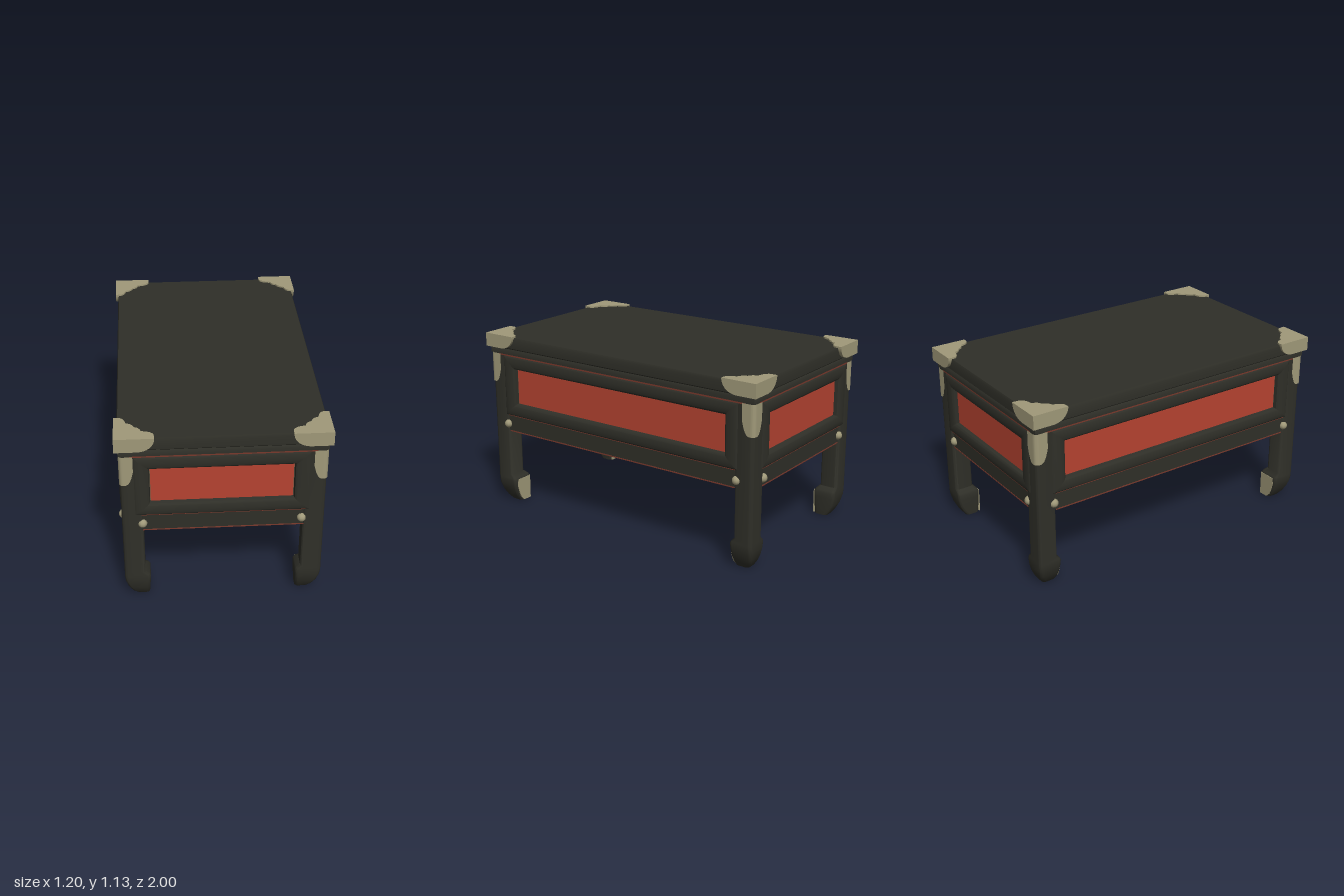
import * as THREE from 'three';
import { toCreasedNormals } from 'three/addons/utils/BufferGeometryUtils.js';

const material = (name, color) => {
  const m = new THREE.MeshStandardMaterial({ color, side: THREE.DoubleSide });
  m.name = name;
  return m;
};

// Counter-clockwise rounded rectangle at height w
function ring(x0, x1, y0, y1, w, r = 0, seg = 5) {
  const pts = [];
  const corners = [[x1, y1, -1, -1], [x0, y1, 1, -1], [x0, y0, 1, 1], [x1, y0, -1, 1]];
  corners.forEach(([x, y, dx, dy], q) => {
    for (let i = 0; i <= (r ? seg : 0); i++) {
      const a = (q + i / seg) * Math.PI / 2;
      pts.push([x + dx * r + r * Math.cos(a), y + dy * r + r * Math.sin(a), w]);
    }
  });
  return pts;
}

// Skin over a stack of rings, with optional end caps
function loft(rings, caps = true) {
  const n = rings[0].length, pos = rings.flat(2), index = [];
  for (let i = 0; i < rings.length - 1; i++) {
    for (let j = 0; j < n; j++) {
      const k = (j + 1) % n, a = i * n + j, b = i * n + k;
      index.push(a, b, b + n, a, b + n, a + n);
    }
  }
  if (caps) {
    const top = (rings.length - 1) * n;
    for (let j = 1; j < n - 1; j++) index.push(0, j + 1, j, top, top + j, top + j + 1);
  }
  const g = new THREE.BufferGeometry();
  g.setAttribute('position', new THREE.Float32BufferAttribute(pos, 3));
  g.setIndex(index);
  return g;
}

// Copy into another quadrant, keeping the faces outward
function mirrored(geo, sx, sz) {
  const g = geo.index ? geo.toNonIndexed() : geo.clone();
  g.deleteAttribute('uv');
  g.scale(sx, 1, sz);
  if (sx * sz < 0) {
    const p = g.attributes.position, a = new THREE.Vector3(), b = new THREE.Vector3();
    for (let i = 0; i < p.count; i += 3) {
      a.fromBufferAttribute(p, i + 1);
      b.fromBufferAttribute(p, i + 2);
      p.setXYZ(i + 1, b.x, b.y, b.z);
      p.setXYZ(i + 2, a.x, a.y, a.z);
    }
  }
  g.computeVertexNormals();
  return toCreasedNormals(g, Math.PI / 4);
}

const extrude = (shape, depth) =>
  new THREE.ExtrudeGeometry(shape, { depth, bevelEnabled: false, curveSegments: 6 });

// Side plate of a corner cap; X runs inward from the corner at x = edge
function capSide(edge, dir) {
  const s = new THREE.Shape(), X = (u) => edge + dir * u;
  s.moveTo(X(0), 1.05);
  s.lineTo(X(0.13), 1.05);
  s.quadraticCurveTo(X(0.185), 1.055, X(0.208), 1.09);
  s.quadraticCurveTo(X(0.222), 1.11, X(0.222), 1.135);
  s.lineTo(X(0), 1.135);
  return s;
}

// Scalloped top plate of a corner cap
function capTop() {
  const s = new THREE.Shape();
  s.moveTo(0.6, 1);
  s.lineTo(0.378, 1);
  s.lineTo(0.38, 0.955);
  s.quadraticCurveTo(0.395, 0.925, 0.45, 0.92);
  s.quadraticCurveTo(0.455, 0.885, 0.487, 0.877);
  s.quadraticCurveTo(0.495, 0.845, 0.532, 0.835);
  s.quadraticCurveTo(0.54, 0.79, 0.565, 0.78);
  s.lineTo(0.6, 0.778);
  return s;
}

// Sheet wrapped round the outer corner of a leg, with a shaped lower edge
function guardGeometry() {
  const g = new THREE.PlaneGeometry(1, 1, 28, 6), p = g.attributes.position;
  const X = 0.58, Z = 0.983, r = 0.025, flat = 0.055, arc = r * Math.PI / 2;
  for (let i = 0; i < p.count; i++) {
    const s = p.getX(i) * (2 * flat + arc), v = 0.5 - p.getY(i);
    const t = Math.max(0, Math.abs(s) - arc / 2);
    const a = Math.PI / 4 - THREE.MathUtils.clamp(s / r, -Math.PI / 4, Math.PI / 4);
    const low = 0.82 + 0.09 * Math.pow(t / flat, 3);
    p.setXYZ(i,
      X - r + r * Math.cos(a) - (s < 0 ? t : 0),
      1.008 + (low - 1.008) * v,
      Z - r + r * Math.sin(a) - (s > 0 ? t : 0));
  }
  return g;
}

export function createModel() {
  const black = material('black lacquer', 0x2f2f28);
  const red = material('red lacquer', 0xb64331);
  const brass = material('aged brass', 0xa09979);
  const worn = material('worn red edge', 0x7a392c);
  const bare = material('rubbed edge', 0x6b5c44);
  const model = new THREE.Group();
  model.name = 'lowTable';
  const add = (name, geo, mat, parent = model) => {
    const m = new THREE.Mesh(geo, mat);
    m.name = name;
    parent.add(m);
    return m;
  };
  const box = (name, w, h, d, x, y, z, mat, parent) =>
    add(name, new THREE.BoxGeometry(w, h, d), mat, parent).position.set(x, y, z);

  // Table top with a shallow lower moulding: half width, half depth, height
  const slab = [[0.58, 0.979, 1.01], [0.58, 0.979, 1.035], [0.575, 0.973, 1.046], [0.582, 0.98, 1.053],
    [0.584, 0.981, 1.112], [0.578, 0.976, 1.125]];
  const slabGeo = loft(slab.map(([x, z, y]) => ring(-x, x, -z, z, y))).rotateX(-Math.PI / 2);
  add('tableTop', toCreasedNormals(slabGeo, 0.5), black);

  // Body behind the panels, with its floor just above the apron edges
  box('body', 1.08, 0.495, 1.88, 0, 0.7625, 0, black);

  // Four walls: apron, moulded frame, recessed red panel and worn edge lines
  // name, angle, distance, frame half width, wall half width, frame shift
  const walls = [['front', 0, 0.96, 0.492, 0.55, -0.008], ['left', Math.PI / 2, 0.56, 0.875, 0.95, 0],
    ['back', Math.PI, 0.96, 0.492, 0.55, 0.008], ['right', -Math.PI / 2, 0.56, 0.875, 0.95, 0]];
  const profile = [[0, -0.02], [0, 0.014], [0.01, 0.021], [0.04, 0.024], [0.072, 0.021], [0.084, 0.012], [0.09, -0.016]];
  for (const [side, angle, d, half, full, shift] of walls) {
    const wall = new THREE.Group();
    wall.name = side + 'Wall';
    wall.rotation.y = angle;
    model.add(wall);
    box('apron', full * 2, 0.12, 0.036, 0, 0.56, d - 0.012, black, wall);
    const rings = profile.map(([i, w]) =>
      ring(shift - half + i, shift + half - i, 0.61 + i * 0.9, 1 - i * 0.95, d + w));
    add('frame', toCreasedNormals(loft(rings, false), 0.6), black, wall);
    box('panelBorder', (half - 0.087) * 2, 0.23, 0.009, shift, 0.802, d - 0.0145, bare, wall);
    box('redPanel', (half - 0.092) * 2, 0.222, 0.009, shift, 0.802, d - 0.0125, red, wall);
    box('lowerEdgeLine', full * 1.8, 0.007, 0.016, 0, 0.4995, d, worn, wall);
    box('frameEdgeLine', half * 1.96, 0.005, 0.012, shift, 0.608, d + 0.007, worn, wall);
    box('upperEdgeLine', half * 2.1, 0.01, 0.012, 0, 1.005, d + 0.011, worn, wall);
  }

  // Leg cross-sections: height, inner and outer x, inner and outer z
  const sections = [[0, 0.432, 0.512, 0.838, 0.925], [0.03, 0.43, 0.535, 0.835, 0.945], [0.07, 0.428, 0.555, 0.832, 0.963],
    [0.12, 0.425, 0.571, 0.83, 0.974], [0.155, 0.424, 0.575, 0.829, 0.976], [0.17, 0.43, 0.575, 0.836, 0.976],
    [0.192, 0.453, 0.575, 0.857, 0.976], [1.01, 0.453, 0.575, 0.857, 0.976]];
  const legGeo = loft(sections.map(([y, x0, x1, z0, z1]) => ring(x0, x1, -z1, -z0, y, 0.021))).rotateX(-Math.PI / 2);

  // Brass plate on the inward face of each foot
  const plate = new THREE.Shape([[0.437, 0.004], [0.498, 0.004], [0.522, 0.03], [0.538, 0.07], [0.552, 0.12],
    [0.545, 0.158], [0.435, 0.158]].map(([x, y]) => new THREE.Vector2(x, y)));
  const plateGeo = extrude(plate, 0.009).translate(0, 0, 0.827);

  const guardGeo = guardGeometry();
  const capFront = extrude(capSide(0.6, -1), 0.022).translate(0, 0, 0.978);
  const capFlank = extrude(capSide(-1, 1), 0.022).rotateY(Math.PI / 2).translate(0.578, 0, 0);
  const capLid = extrude(capTop(), 0.012).rotateX(Math.PI / 2).translate(0, 1.135, 0);
  const studGeo = new THREE.SphereGeometry(0.027, 10, 7);

  // Four corners
  for (const sx of [1, -1]) for (const sz of [1, -1]) {
    const corner = new THREE.Group();
    corner.name = (sz > 0 ? 'front' : 'back') + (sx > 0 ? 'Left' : 'Right') + 'Corner';
    model.add(corner);
    const parts = [['leg', legGeo, black], ['footPlate', plateGeo, brass], ['legGuard', guardGeo, brass],
      ['cornerCapEnd', capFront, brass], ['cornerCapSide', capFlank, brass], ['cornerCapTop', capLid, brass]];
    for (const [name, geo, mat] of parts) add(name, mirrored(geo, sx, sz), mat, corner);
    add('endStud', studGeo, brass, corner).position.set(sx > 0 ? 0.445 : -0.459, 0.546, sz * 0.966);
    add('sideStud', studGeo, brass, corner).position.set(sx * 0.567, 0.546, sz * 0.868);
  }
  return model;
}
